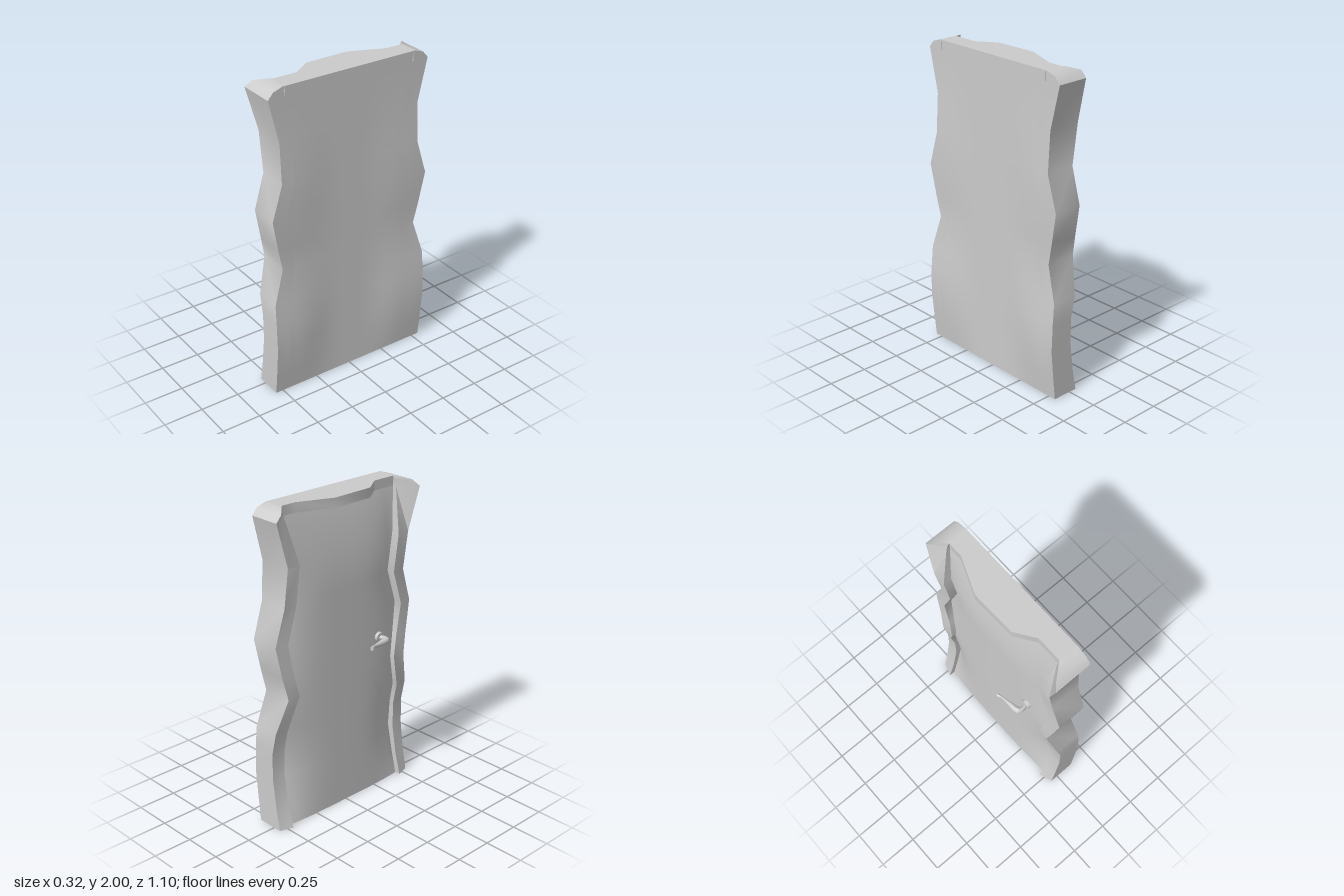
import * as THREE from 'three';
import { toCreasedNormals } from 'three/addons/utils/BufferGeometryUtils.js';

const { lerp, smoothstep } = THREE.MathUtils;

// Profile of the crooked door by height:
// y, outer half width, inner half width, back x, jamb outer edge x, jamb inner edge x
const ROWS = [
  [0.0, 0.55, 0.465, 0.123, -0.052, -0.08],
  [0.14, 0.55, 0.465, 0.139, -0.025, -0.04],
  [0.33, 0.55, 0.465, 0.157, 0.0, -0.008],
  [0.5, 0.55, 0.465, 0.152, 0.0, -0.01],
  [0.64, 0.547, 0.462, 0.14, -0.03, -0.04],
  [0.86, 0.48, 0.395, 0.123, -0.075, -0.075],
  [1.0, 0.51, 0.425, 0.13, -0.06, -0.062],
  [1.2, 0.548, 0.463, 0.139, -0.05, -0.06],
  [1.42, 0.48, 0.395, 0.139, -0.055, -0.06],
  [1.67, 0.48, 0.395, 0.124, -0.09, -0.093],
  [1.94, 0.545, 0.44, 0.123, -0.115, -0.02],
  [1.98, 0.51, 0.44, 0.123, -0.085, -0.01],
  [2.0, 0.45, 0.435, 0.123, -0.015, 0.0],
];

// Closed solid from a list of rings with equal point counts
function loft(rings, crease = 0.6) {
  const n = rings[0].length, pos = rings.flat(2), index = [];
  for (let r = 0; r < rings.length - 1; r++) {
    for (let i = 0; i < n; i++) {
      const j = (i + 1) % n, a = r * n + i, b = r * n + j;
      index.push(a, b, b + n, a, b + n, a + n);
    }
  }
  [0, rings.length - 1].forEach((r) => {
    const c = pos.length / 3;
    for (let k = 0; k < 3; k++) pos.push(rings[r].reduce((s, p) => s + p[k], 0) / n);
    for (let i = 0; i < n; i++) {
      const a = r * n + i, b = r * n + (i + 1) % n;
      if (r === 0) index.push(c, b, a); else index.push(c, a, b);
    }
  });
  // Turn all faces outward when the enclosed volume is negative
  const v = (i) => new THREE.Vector3().fromArray(pos, i * 3);
  let volume = 0;
  for (let i = 0; i < index.length; i += 3) {
    volume += v(index[i]).dot(v(index[i + 1]).cross(v(index[i + 2])));
  }
  if (volume < 0) index.reverse();
  const g = new THREE.BufferGeometry();
  g.setAttribute('position', new THREE.Float32BufferAttribute(pos, 3));
  g.setIndex(index);
  return toCreasedNormals(g, crease);
}

export function createModel() {
  const model = new THREE.Group();
  model.name = 'crookedDoor';
  const material = new THREE.MeshStandardMaterial({ color: 0xcccccc });
  const add = (name, geometry, parent = model) => {
    const mesh = new THREE.Mesh(geometry, material);
    mesh.name = name;
    parent.add(mesh);
    return mesh;
  };

  // Side jambs, mirrored across z; the back one flares less at the top
  for (const s of [1, -1]) {
    const flare = s > 0 ? -0.115 : -0.078;
    add(s > 0 ? 'frontJamb' : 'backJamb', loft(ROWS.map(([y, zo, zi, xb, xo, xi]) => [
      [xb, y, s * zo], [Math.max(xo, y > 1.9 ? flare : xo), y, s * zo],
      [xi, y, s * zi], [xb, y, s * zi],
    ])));
  }

  // Door panel: bowed on the handle side, its back bulging only near the jambs
  const cols = Array.from({ length: 17 }, (_, i) => i / 8 - 1);
  const panelRows = ROWS.slice(0, -2);
  add('doorPanel', loft(panelRows.map(([y, , zi, xb]) => {
    const edgeX = 2.2 * (xb - 0.123) - 0.042;
    const toLintel = smoothstep(y, 1.67, 1.94);
    const back = cols.map((t) => {
      const w = smoothstep(Math.abs(t * zi), 0.1, 0.4);
      return [lerp(0.123, xb, w), y, t * zi];
    });
    const front = cols.map((t) => {
      const x = lerp(-0.057, edgeX, Math.abs(t) ** 3.5);
      return [lerp(x, 0.004, toLintel), y, t * zi];
    });
    return [...back, ...front.reverse()];
  })));

  // Lintel with an overhanging middle
  const edge = [
    [-0.435, 0], [-0.34, 0], [-0.12, -0.09], [0.16, -0.083], [0.28, 0], [0.435, 0],
  ];
  add('lintel', loft(edge.map(([z, x]) => [
    [x, 1.94, z], [0.123, 1.94, z], [0.123, 2, z], [x, 2, z],
  ])));

  // Handle: round plate, then a curved lever of varying thickness
  const handle = new THREE.Group();
  handle.name = 'handle';
  model.add(handle);
  const plate = add('handlePlate', new THREE.CylinderGeometry(0.03, 0.033, 0.03, 12), handle);
  plate.rotation.z = Math.PI / 2;
  plate.position.set(-0.056, 1.03, 0.276);

  const path = new THREE.CatmullRomCurve3([
    [-0.06, 0.276], [-0.1, 0.284], [-0.122, 0.272], [-0.13, 0.23], [-0.139, 0.16], [-0.152, 0.12],
  ].map(([x, z]) => new THREE.Vector3(x, 1.028, z)));
  const radii = [0.012, 0.015, 0.022, 0.017, 0.007, 0.011];
  const steps = 15;
  add('handleLever', loft(Array.from({ length: steps + 1 }, (_, k) => {
    const t = k / steps, p = path.getPoint(t), d = path.getTangent(t);
    const i = Math.min(Math.floor(t * 5), 4);
    const r = lerp(radii[i], radii[i + 1], t * 5 - i);
    return Array.from({ length: 10 }, (_, j) => {
      const a = (j / 10) * Math.PI * 2, w = Math.cos(a) * r;
      return [p.x - d.z * w, p.y + Math.sin(a) * (r * 0.7 + 0.007), p.z + d.x * w];
    });
  }), 0.8), handle);

  return model;
}
